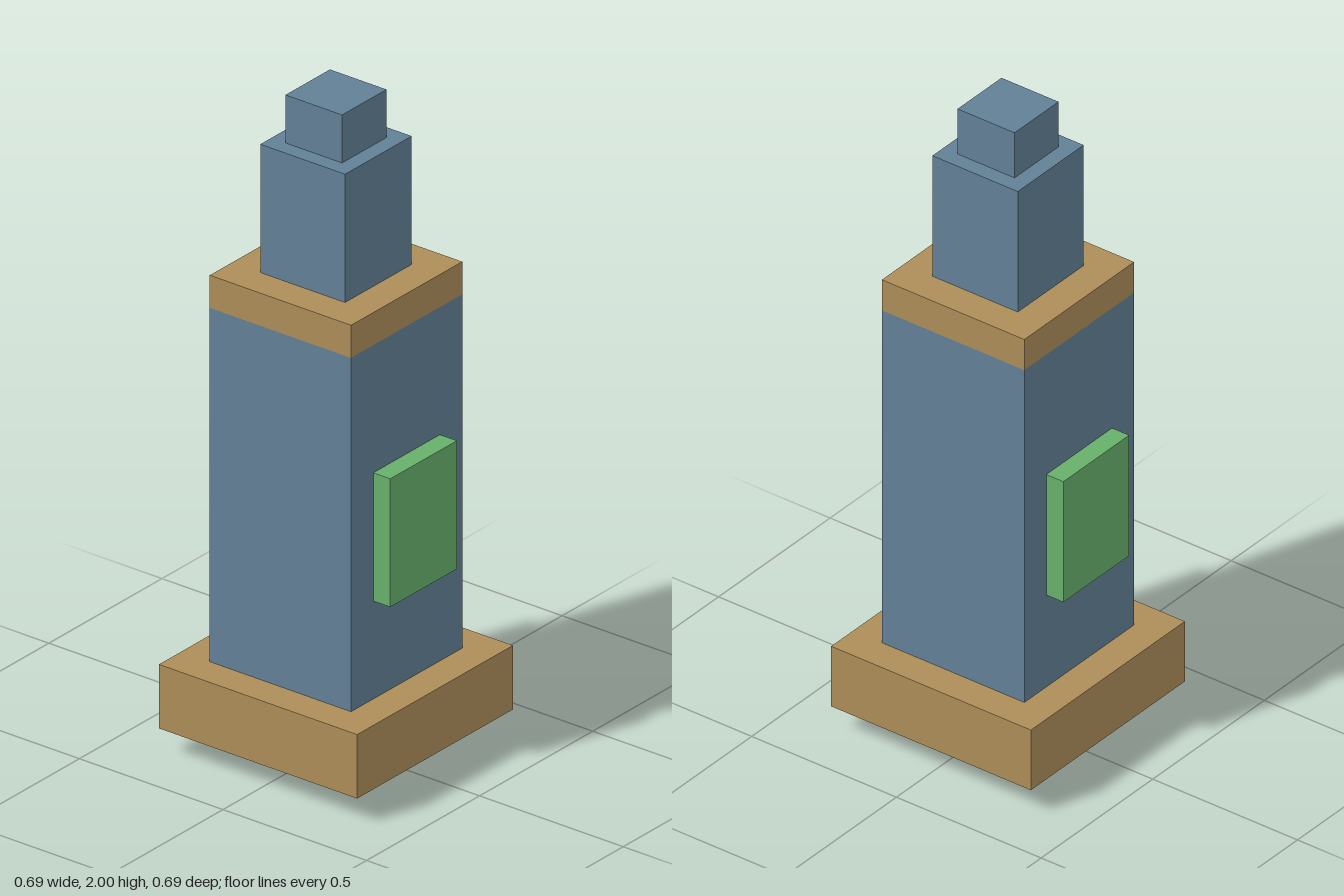
import * as THREE from 'three';

const material = (name, color) => {
  const m = new THREE.MeshStandardMaterial({ color });
  m.name = name;
  return m;
};

export function createModel() {
  const group = new THREE.Group();
  group.name = 'tower';

  const blue = material('slate blue', 0x628096);
  const tan = material('tan', 0xad8d59);
  const green = material('green', 0x68b06c);
  const dark = material('dark slate', 0x2b3a45);

  // Box spanning y0..y1, centred on x and on the given z
  const block = (name, mat, width, depth, y0, y1, z = 0) => {
    const mesh = new THREE.Mesh(new THREE.BoxGeometry(width, y1 - y0, depth), mat);
    mesh.name = name;
    mesh.position.set(0, (y0 + y1) / 2, z);
    group.add(mesh);
  };

  // Square tiers, from the ground up
  const tiers = [
    ['foot', dark, 0.295, 0, 0.08],
    ['base', tan, 0.69, 0.08, 0.276],
    ['body', blue, 0.492, 0.276, 1.36],
    ['collar', tan, 0.492, 1.36, 1.46],
    ['upperTower', blue, 0.295, 1.46, 1.853],
    ['topBlock', blue, 0.197, 1.853, 2],
  ];
  for (const [name, mat, size, y0, y1] of tiers) block(name, mat, size, size, y0, y1);

  // Raised panels on the front and back of the body
  for (const [name, side] of [['frontPanel', 1], ['backPanel', -1]]) {
    block(name, green, 0.295, 0.059, 0.576, 0.969, side * 0.2755);
  }

  return group;
}
